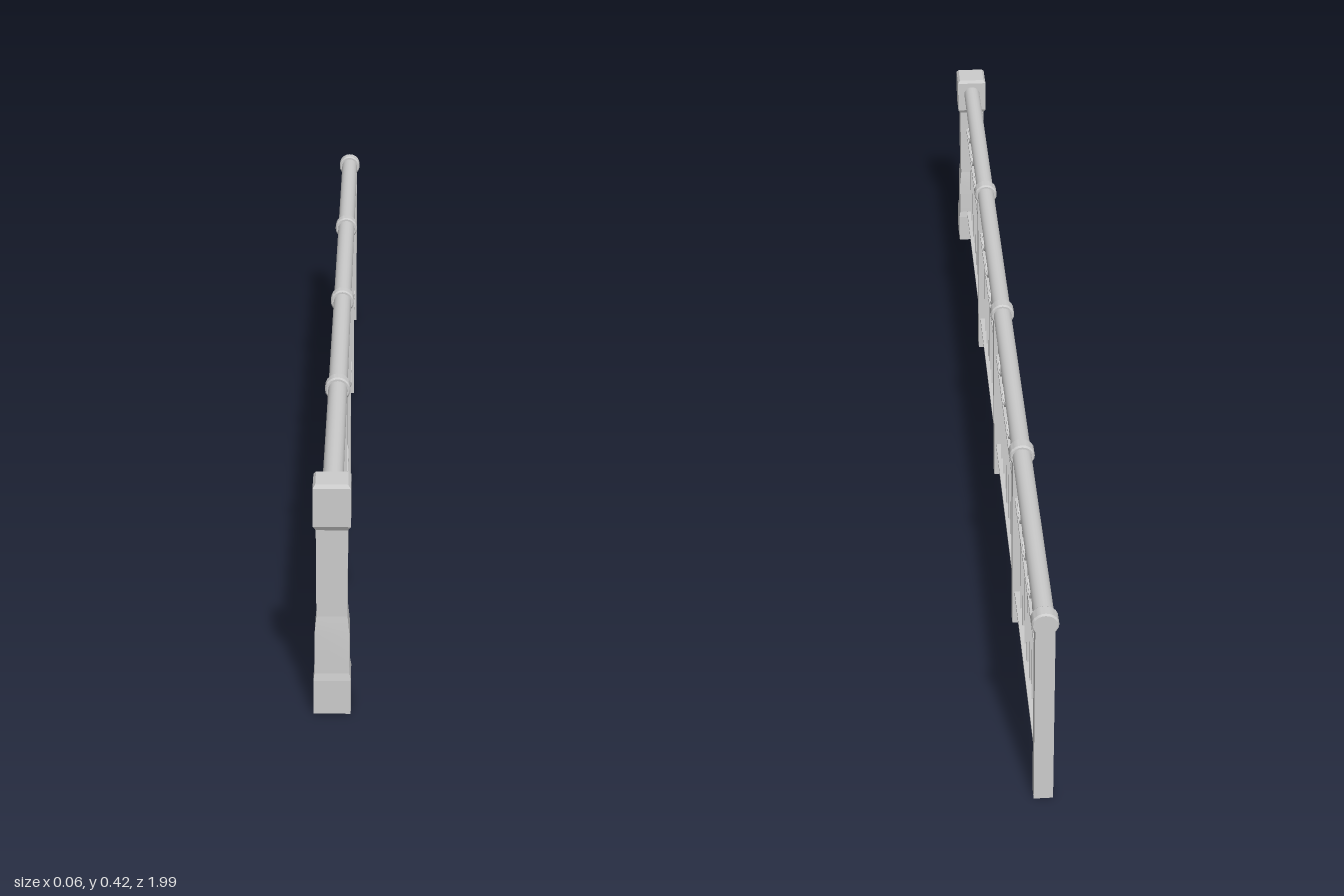
import * as THREE from 'three';
import { toCreasedNormals } from 'three/addons/utils/BufferGeometryUtils.js';

const material = new THREE.MeshStandardMaterial({ color: 0xcccccc });
const PITCH = 0.485;      // distance between posts
const STEP = 0.0517;      // distance between balusters
const RAIL_Y = 0.387;

function add(parent, name, geometry, x, y, z) {
  const mesh = new THREE.Mesh(geometry, material);
  mesh.name = name;
  mesh.position.set(x, y, z);
  parent.add(mesh);
  return mesh;
}

// Square-section solid turned from a [half width, y] profile
function squareTurned(profile) {
  const points = profile.map(([w, y]) => new THREE.Vector2(w * Math.SQRT2, y));
  const g = new THREE.LatheGeometry(points, 4).rotateY(Math.PI / 4);
  return toCreasedNormals(g, 0.1);
}

// Extrude a shape in the side plane, centred on x = 0
function sideExtrude(shape, width, curveSegments) {
  const g = new THREE.ExtrudeGeometry(shape, { depth: width, bevelEnabled: false, curveSegments });
  return toCreasedNormals(g.translate(0, 0, -width / 2).rotateY(Math.PI / 2), 0.6);
}

function hoopGeometry(radius, wall, width) {
  const shape = new THREE.Shape().absarc(0, 0, radius, 0, Math.PI * 2);
  shape.holes.push(new THREE.Path().absarc(0, 0, radius - wall, 0, Math.PI * 2, true));
  return sideExtrude(shape, width, 16);
}

// Flat strip curled into a full turn, then winding inwards
function scrollGeometry() {
  const outer = [], inner = [], n = 44, turns = 1.9;
  for (let i = 0; i <= n; i++) {
    const t = (i / n) * turns;
    const r = 0.0238 - 0.002 * Math.min(t, 1) - 0.011 * Math.max(0, t - 1);
    const a = Math.PI / 2 + t * Math.PI * 2;
    outer.push(new THREE.Vector2(r * Math.cos(a), r * Math.sin(a)));
    inner.push(new THREE.Vector2((r - 0.0035) * Math.cos(a), (r - 0.0035) * Math.sin(a)));
  }
  // the first turn tucks just inside itself, so the strip never overlaps
  for (let i = 0; i <= n; i++) {
    const t = (i / n) * turns;
    if (t > 0.8) {
      const k = 1 - 0.12 * Math.min(1, (t - 0.8) / 0.2);
      outer[i].multiplyScalar(k);
      inner[i].multiplyScalar(k);
    }
  }
  return sideExtrude(new THREE.Shape([...outer, ...inner.reverse()]), 0.016, 1);
}

export function createModel() {
  const group = new THREE.Group();
  group.name = 'railing';

  // Large end post with block cap
  const newel = new THREE.Group();
  newel.name = 'newelPost';
  newel.position.z = 0.969;
  group.add(newel);
  add(newel, 'newelShaft', squareTurned([
    [0, 0], [0.0315, 0], [0.0315, 0.062], [0.0295, 0.075], [0.029, 0.15],
    [0.026, 0.18], [0.0265, 0.345], [0, 0.345],
  ]), 0, 0, 0);
  add(newel, 'newelCap', squareTurned([
    [0, 0.338], [0.0265, 0.338], [0.0315, 0.346], [0.0315, 0.414], [0.027, 0.42], [0, 0.42],
  ]), 0, 0, 0);

  // Round handrail
  add(group, 'handrail', new THREE.CylinderGeometry(0.0175, 0.0175, 1.935, 20).rotateX(Math.PI / 2),
    0, RAIL_Y, -0.02);

  // Slim posts, each with a collar round the handrail
  const postGeo = new THREE.BoxGeometry(0.034, 0.38, 0.027);
  const collarGeo = toCreasedNormals(new THREE.LatheGeometry([
    [0, -0.0135], [0.021, -0.0135], [0.0235, -0.01], [0.0235, 0.01], [0.021, 0.0135], [0, 0.0135],
  ].map(p => new THREE.Vector2(...p)), 20).rotateX(Math.PI / 2), 0.5);
  for (let i = 0; i < 4; i++) {
    const z = 0.475 - i * PITCH;
    add(group, 'post', postGeo, 0, 0.19, z);
    add(group, 'collar', collarGeo, 0, RAIL_Y, z);
  }

  // Infill panels between the posts
  const crossbarGeo = new THREE.BoxGeometry(0.026, 0.007, 0.465);
  const balusterGeo = new THREE.BoxGeometry(0.013, 0.275, 0.006);
  const hoopGeo = hoopGeometry(0.0375, 0.004, 0.022);
  const scrollGeo = scrollGeometry();
  for (let i = 0; i < 4; i++) {
    const panel = new THREE.Group();
    panel.name = 'panel';
    panel.position.z = 0.7175 - i * PITCH;
    group.add(panel);
    add(panel, 'upperCrossbar', crossbarGeo, 0, 0.291, 0);
    add(panel, 'lowerCrossbar', crossbarGeo, 0, 0.072, 0);
    for (let k = 0; k < 8; k++) add(panel, 'baluster', balusterGeo, 0, 0.1525, (k - 3.5) * STEP);
    for (let k = 0; k < 9; k++) add(panel, 'scroll', scrollGeo, 0, 0.266, (k - 4) * STEP);
    for (let k = 0; k < 4; k++) add(panel, 'hoop', hoopGeo, 0, 0.332, (k - 1.5) * 0.108);
  }
  return group;
}
